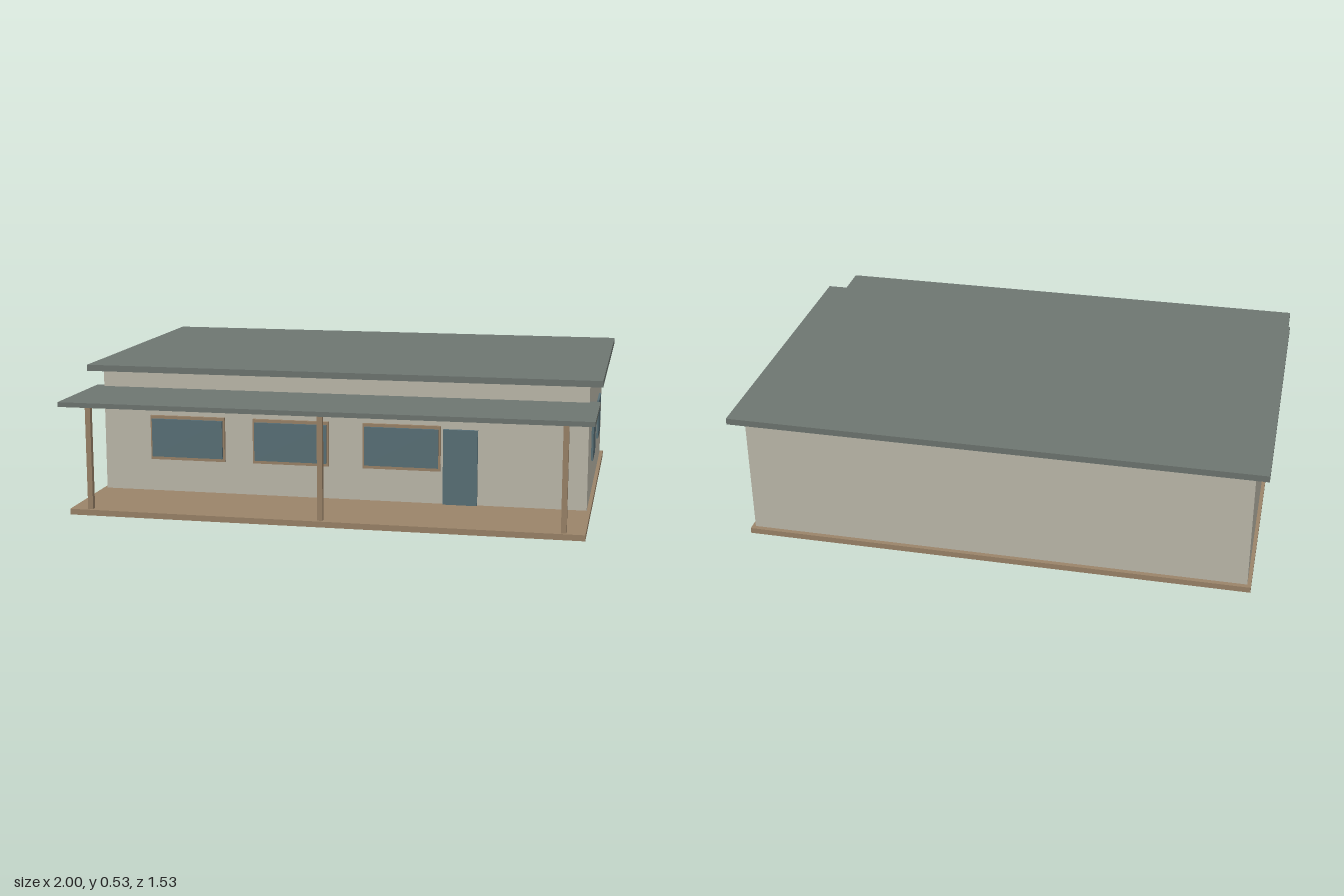
import * as THREE from 'three';

const material = (color) => new THREE.MeshStandardMaterial({ color });

export function createModel() {
  const house = new THREE.Group();
  house.name = 'house';
  const wall = material(0xbfbbad);
  const roof = material(0x6e7671);
  const wood = material(0x9b8469);
  const glass = material(0x5a7178);

  // Box given by its extents on each axis
  function block(name, mat, [x0, x1], [y0, y1], [z0, z1], parent = house) {
    const mesh = new THREE.Mesh(new THREE.BoxGeometry(x1 - x0, y1 - y0, z1 - z0), mat);
    mesh.position.set((x0 + x1) / 2, (y0 + y1) / 2, (z0 + z1) / 2);
    mesh.name = name;
    parent.add(mesh);
    return mesh;
  }

  // Deck, body and the two flat roofs
  block('floorSlab', wood, [-0.965, 0.965], [0, 0.022], [-0.73, 0.742]);
  block('walls', wall, [-0.951, 0.951], [0.022, 0.502], [-0.712, 0.386]);
  block('mainRoof', roof, [-1, 1], [0.502, 0.526], [-0.767, 0.438]);
  block('porchRoof', roof, [-0.99, 0.99], [0.417, 0.435], [0.36, 0.767]);

  // Porch posts
  for (const x of [-0.888, 0, 0.888]) {
    block('porchPost', wood, [x - 0.01, x + 0.01], [0.022, 0.417], [0.71, 0.73]);
  }

  // Framed front windows
  for (const x of [-0.608, -0.192, 0.244]) {
    const win = new THREE.Group();
    win.name = 'frontWindow';
    block('windowFrame', wood, [x - 0.151, x + 0.151], [0.15, 0.326], [0.38, 0.397], win);
    block('windowPane', glass, [x - 0.143, x + 0.143], [0.163, 0.314], [0.39, 0.406], win);
    house.add(win);
  }

  // Front door
  block('frontDoor', glass, [0.405, 0.537], [0.022, 0.314], [0.38, 0.399]);

  // Windows on the left wall
  for (const z of [0.058, -0.381]) {
    block('sideWindow', glass, [0.945, 0.959], [0.164, 0.326], [z - 0.092, z + 0.092]);
  }
  return house;
}
